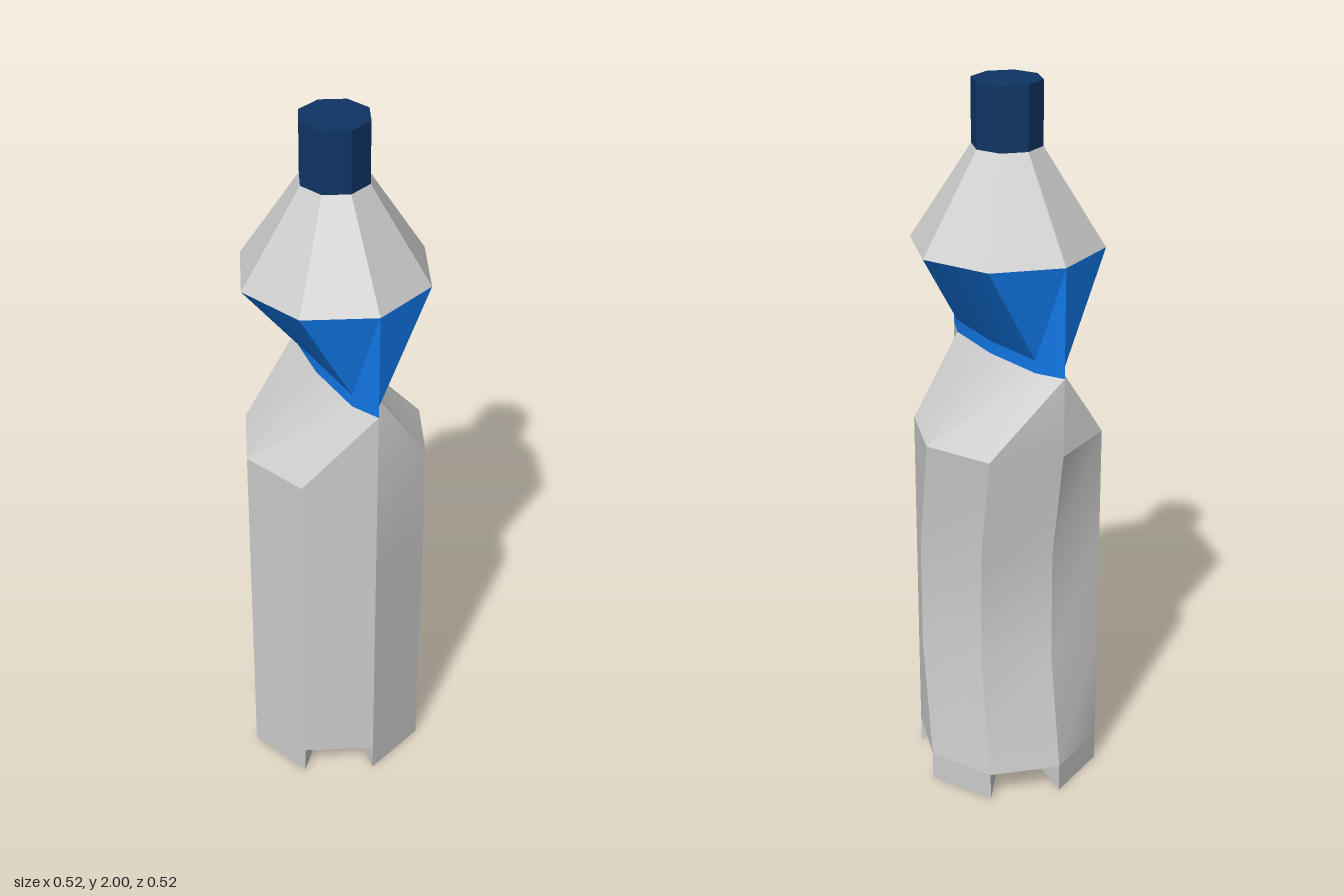
import * as THREE from 'three';
import { toCreasedNormals } from 'three/addons/utils/BufferGeometryUtils.js';

const SIDES = 8, R = 0.26, FOOT = 0.08;

// Octagon corner i at height y, with x narrowed by squash
const corner = (i, y, r = R, squash = 1) => {
  const a = (i % SIDES) * Math.PI * 2 / SIDES;
  return new THREE.Vector3(r * Math.sin(a) * squash, y, r * Math.cos(a));
};
const ring = (y, r, squash) => Array.from({ length: SIDES }, (_, i) => corner(i, y, r, squash));

// Ring with three neighbouring corners pushed in to form the grip
const gripRing = (y) => ring(y).map((p, i) =>
  i >= 2 && i <= 4 ? p.add(new THREE.Vector3(-0.015, 0, 0.065)) : p);

// Triangles joining a stack of rings, bottom to top
function loft(rings) {
  const tris = [];
  for (let k = 0; k < rings.length - 1; k++) {
    for (let i = 0; i < SIDES; i++) {
      const j = (i + 1) % SIDES;
      const a = rings[k][i], b = rings[k][j], c = rings[k + 1][j], d = rings[k + 1][i];
      tris.push(a, b, c, a, c, d);
    }
  }
  return tris;
}

function partMesh(name, points, color) {
  const geometry = toCreasedNormals(new THREE.BufferGeometry().setFromPoints(points), 0.4);
  const mesh = new THREE.Mesh(geometry, new THREE.MeshStandardMaterial({ color }));
  mesh.name = name;
  return mesh;
}

// Underside: every other wedge is a foot that slopes down from the centre
function baseTriangles() {
  const tris = [], c = new THREE.Vector3(0, FOOT, 0);
  for (let i = 0; i < SIDES; i++) {
    const t0 = corner(i, FOOT), t1 = corner(i + 1, FOOT);
    if (i % 2) {
      tris.push(c, t1, t0);
      continue;
    }
    const b0 = corner(i, 0), b1 = corner(i + 1, 0);
    tris.push(c, b1, b0);                   // sloping sole
    tris.push(b0, b1, t1, b0, t1, t0);      // outer wall
    tris.push(c, b0, t0, c, t1, b1);        // radial walls
  }
  return tris;
}

export function createModel() {
  const bottle = new THREE.Group();
  bottle.name = 'bottle';
  const grey = 0xcccccc, blue = 0x1177e6, navy = 0x0e3464, pinch = 0.21;

  // Feet and underside
  bottle.add(partMesh('base', baseTriangles(), grey));
  // Lower body with the grip, closing in to the flattened waist
  bottle.add(partMesh('body', loft([
    ring(FOOT), gripRing(0.41), gripRing(0.73), ring(1.05), ring(1.27, R, pinch),
  ]), grey));
  // Coloured band flaring from the waist
  bottle.add(partMesh('label', loft([
    ring(1.27, R, pinch), ring(1.305, R, pinch), ring(1.57),
  ]), blue));
  // Tapered shoulder
  bottle.add(partMesh('shoulder', loft([ring(1.57), ring(1.83, 0.094)]), grey));

  // Cap
  const cap = new THREE.Mesh(
    new THREE.CylinderGeometry(0.094, 0.094, 0.17, SIDES),
    new THREE.MeshStandardMaterial({ color: navy, flatShading: true }));
  cap.name = 'cap';
  cap.position.y = 1.915;
  bottle.add(cap);

  return bottle;
}
